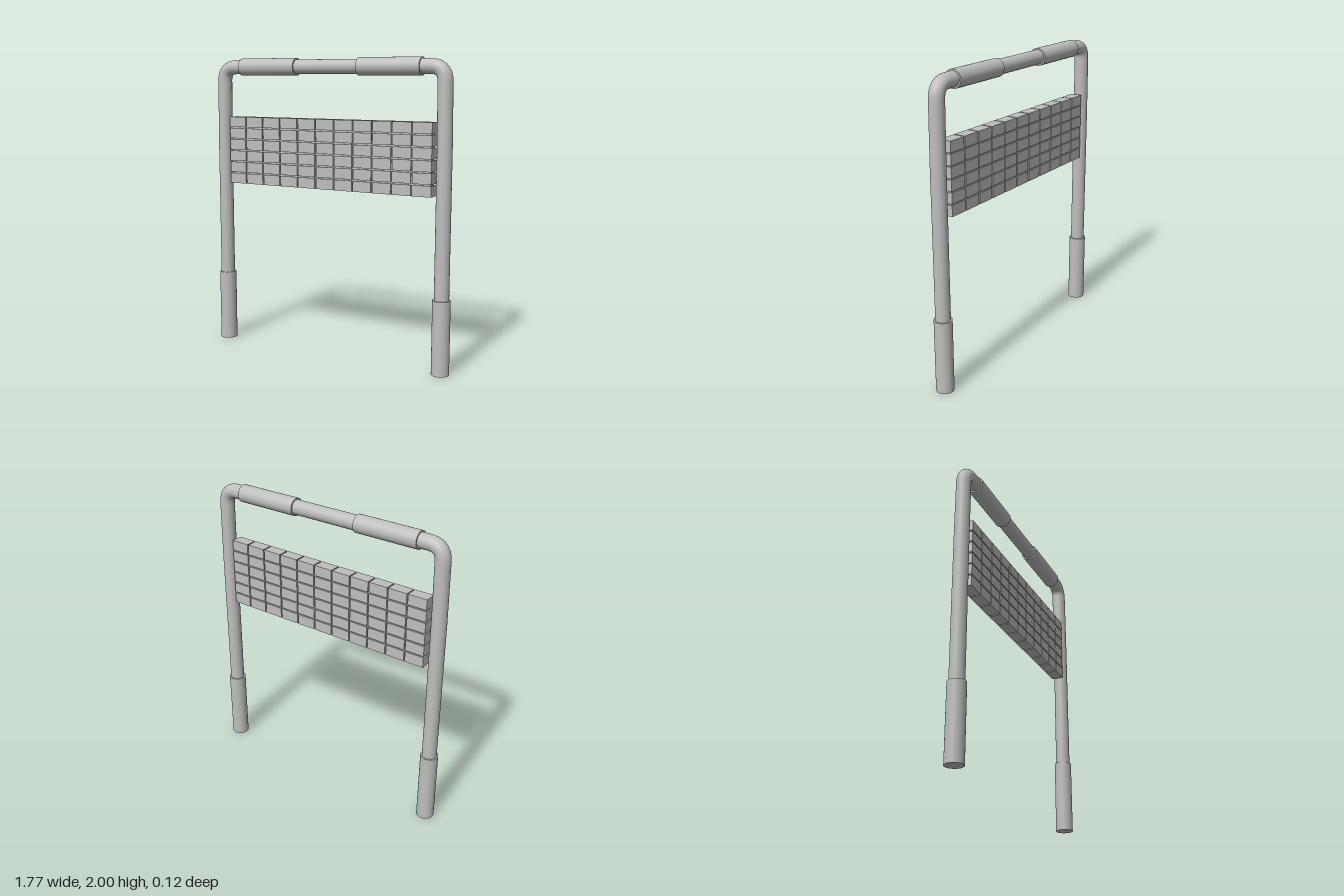
import * as THREE from 'three';

const V = (x, y) => new THREE.Vector3(x, y, 0);

export function createModel() {
  const root = new THREE.Group();
  const grey = new THREE.MeshStandardMaterial({ color: 0xbebebe });
  grey.name = 'light grey';

  const add = (parent, name, geometry, x = 0, y = 0, z = 0) => {
    const mesh = new THREE.Mesh(geometry, grey);
    mesh.name = name;
    mesh.position.set(x, y, z);
    parent.add(mesh);
    return mesh;
  };

  // One bent pipe: post, rounded corner, top bar, corner, post
  const path = new THREE.CurvePath();
  path.add(new THREE.LineCurve3(V(-0.827, 0.01), V(-0.827, 1.45)));
  path.add(new THREE.LineCurve3(V(-0.827, 1.45), V(-0.822, 1.85)));
  path.add(new THREE.QuadraticBezierCurve3(V(-0.822, 1.85), V(-0.821, 1.941), V(-0.73, 1.942)));
  path.add(new THREE.LineCurve3(V(-0.73, 1.942), V(0.73, 1.942)));
  path.add(new THREE.QuadraticBezierCurve3(V(0.73, 1.942), V(0.821, 1.941), V(0.822, 1.85)));
  path.add(new THREE.LineCurve3(V(0.822, 1.85), V(0.827, 1.45)));
  path.add(new THREE.LineCurve3(V(0.827, 1.45), V(0.827, 0.01)));
  add(root, 'framePipe', new THREE.TubeGeometry(path, 300, 0.048, 32));

  // Foot sleeves and top bar grips
  const foot = new THREE.CylinderGeometry(0.058, 0.058, 0.488, 40);
  const grip = new THREE.CylinderGeometry(0.058, 0.058, 0.438, 40);
  for (const [side, s] of [['left', 1], ['right', -1]]) {
    add(root, side + 'FootSleeve', foot, s * 0.827, 0.244, 0);
    add(root, side + 'BarGrip', grip, s * 0.452, 1.942, 0).rotation.z = Math.PI / 2;
  }

  // Panel of small blocks around a recessed core
  const panel = new THREE.Group();
  panel.name = 'blockPanel';
  root.add(panel);
  add(panel, 'panelCore', new THREE.BoxGeometry(1.5, 0.45, 0.06), 0, 1.371, 0);
  const block = new THREE.BoxGeometry(0.13, 0.07, 0.08);
  for (let row = 0; row < 6; row++) {
    for (let col = 0; col < 11; col++) {
      add(panel, 'block', block, (col - 5) * 0.1387, 1.371 + (row - 2.5) * 0.0784, 0);
    }
  }
  return root;
}
